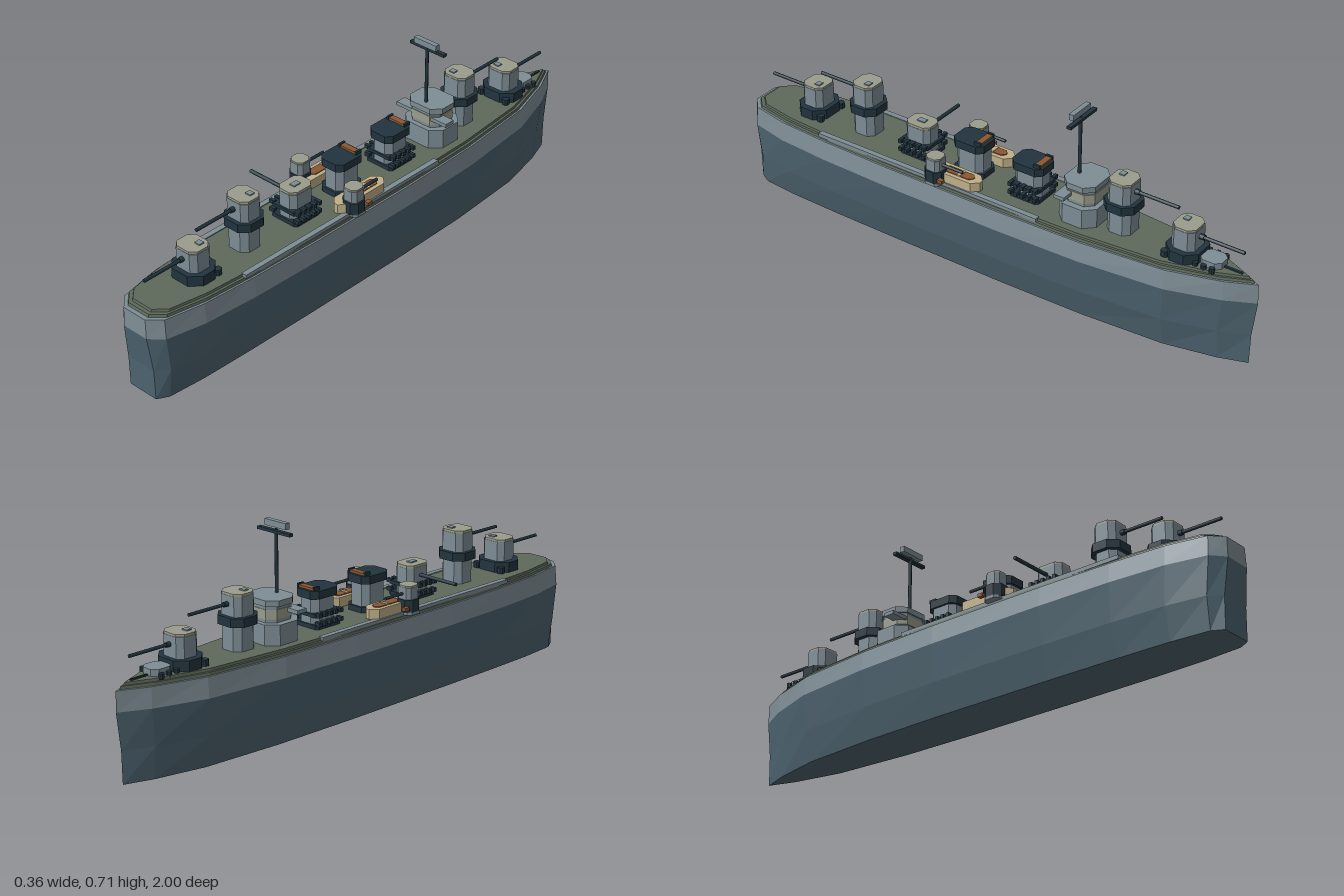
import * as THREE from 'three';

const mat = (name, color) => {
  const m = new THREE.MeshStandardMaterial({ color });
  m.name = name;
  return m;
};

export function createModel() {
  const hullBlue = mat('lower hull blue', 0x4d636f);
  const grey = mat('ship grey', 0x7e8d95);
  const deckGreen = mat('deck green', 0x5e6a5c);
  const navy = mat('dark navy', 0x22343e);
  const stone = mat('roof stone', 0x9a9d8c);
  const tan = mat('boat tan', 0xc0b08a);
  const brown = mat('wood brown', 0x8a5733);

  const ship = new THREE.Group();
  ship.name = 'warship';
  ship.position.x = 0.023;

  const add = (parent, name, geo, material, x = 0, y = 0, z = 0) => {
    const mesh = new THREE.Mesh(geo, material);
    mesh.name = name;
    mesh.position.set(x, y, z);
    parent.add(mesh);
    return mesh;
  };
  const group = (name, x, y, z, parent = ship) => {
    const g = new THREE.Group();
    g.name = name;
    g.position.set(x, y, z);
    parent.add(g);
    return g;
  };
  const box = (p, name, m, w, h, d, x, y, z) =>
    add(p, name, new THREE.BoxGeometry(w, h, d), m, x, y + h / 2, z);
  // Upright block with cut corners, standing on y
  const block = (p, name, m, w, h, d, x, y, z, c = 0.02) => {
    const a = w / 2, b = d / 2;
    const pts = [[a, c - b], [a, b - c], [a - c, b], [c - a, b], [-a, b - c], [-a, c - b], [c - a, -b], [a - c, -b]];
    const shape = new THREE.Shape(pts.map(q => new THREE.Vector2(q[0], q[1])));
    const geo = new THREE.ExtrudeGeometry(shape, { depth: h, bevelEnabled: false });
    return add(p, name, geo.rotateX(-Math.PI / 2), m, x, y, z);
  };
  // Rod lying along z
  const rod = (p, name, m, r, len, x, y, z) =>
    add(p, name, new THREE.CylinderGeometry(r, r, len, 8).rotateX(Math.PI / 2), m, x, y, z);

  // Half-widths of the hull from bow to stern
  const plan = [[-1, 0], [-0.9, 0.05], [-0.72, 0.106], [-0.42, 0.136], [-0.1, 0.145], [0.35, 0.145],
    [0.62, 0.138], [0.82, 0.124], [0.96, 0.095], [1, 0.05]];
  const ring = ([y, sx, sz, p]) => {
    const half = plan.map(([z, w]) => {
      const k = z > 0.5 ? p : 1;
      return [0.145 * sx * Math.pow(w / 0.145, k), y, z * sz];
    });
    return [...half, ...half.slice(1).reverse().map(([x, yy, z]) => [-x, yy, z])];
  };
  const loft = (name, m, levels, top, bottom) => {
    const rings = levels.map(ring), out = [];
    const n = rings[0].length;
    for (let i = 0; i < n; i++) {
      const j = (i + 1) % n;
      for (let k = 0; k + 1 < rings.length; k++) {
        const lo = rings[k], hi = rings[k + 1];
        out.push(...lo[i], ...hi[i], ...lo[j], ...lo[j], ...hi[i], ...hi[j]);
      }
      const last = rings[rings.length - 1], first = rings[0];
      if (top) out.push(0, last[0][1], 0, ...last[j], ...last[i]);
      if (bottom) out.push(0, first[0][1], 0, ...first[i], ...first[j]);
    }
    const geo = new THREE.BufferGeometry();
    geo.setAttribute('position', new THREE.Float32BufferAttribute(out, 3));
    geo.computeVertexNormals();
    add(ship, name, geo, m);
  };

  // Hull and stepped deck
  loft('lowerHull', hullBlue, [[0, 0.68, 0.983, 0.5], [0.11, 0.885, 0.985, 0.75], [0.238, 1.013, 1, 1]], false, true);
  loft('upperHull', grey, [[0.238, 1.013, 1, 1], [0.307, 0.955, 0.998, 1]], true, false);
  loft('deckEdge', deckGreen, [[0.3, 0.915, 0.985, 1], [0.317, 0.9, 0.98, 1]], true, false);
  loft('deck', deckGreen, [[0.315, 0.84, 0.968, 1], [0.326, 0.83, 0.965, 1]], true, false);
  for (const s of [-1, 1]) box(ship, 'deckWalkway', grey, 0.02, 0.014, 0.9, s * 0.118, 0.315, 0.2);

  // Main guns; raised ones stand on a tall column
  const turret = (z, dir, raised) => {
    const g = group(raised ? 'raisedTurret' : 'mainTurret', 0, 0.325, z);
    g.rotation.y = dir > 0 ? 0 : Math.PI;
    let y = 0;
    if (raised) {
      block(g, 'column', grey, 0.09, 0.09, 0.088, 0, 0, 0);
      block(g, 'columnRing', navy, 0.12, 0.03, 0.115, 0, 0.085, 0, 0.03);
      y = 0.075;
    } else {
      block(g, 'turretBase', navy, 0.14, 0.037, 0.12, 0, 0, 0, 0.035);
      for (const s of [-1, 1])
        block(g, 'readyLocker', navy, 0.024, 0.022, 0.024, s * 0.055, 0, -0.05, 0.006);
    }
    block(g, 'turretHouse', grey, 0.095, 0.07, 0.085, 0, y + 0.037, 0, 0.018);
    block(g, 'turretRoof', stone, 0.093, 0.009, 0.083, 0, y + 0.106, 0, 0.02);
    box(g, 'roofHatch', grey, 0.022, 0.004, 0.02, 0.015, y + 0.115, -0.015);
    rod(g, 'gunCollar', navy, 0.009, 0.02, 0, y + 0.079, 0.048);
    rod(g, 'gunBarrel', navy, 0.006, 0.165, 0, y + 0.079, 0.12);
  };
  turret(0.75, 1, false);
  turret(0.53, 1, true);
  turret(-0.5, -1, true);
  turret(-0.74, -1, false);

  // Two dark trays with a row of posts down each side
  const ribbedBase = g => {
    block(g, 'lowerTray', navy, 0.115, 0.015, 0.115, 0, 0, 0, 0.01);
    block(g, 'upperTray', navy, 0.115, 0.012, 0.115, 0, 0.04, 0, 0.01);
    for (const s of [-1, 1]) for (let i = 0; i < 5; i++) {
      const z = (i - 2) * 0.024;
      for (const y of [0.012, 0.042]) box(g, 'trayRib', navy, 0.022, 0.014, 0.012, s * 0.055, y, z);
    }
  };

  // Gun trained to the side
  const sideGun = group('sideTurret', 0, 0.325, 0.3);
  ribbedBase(sideGun);
  block(sideGun, 'turretHouse', grey, 0.08, 0.106, 0.1, 0, 0, 0, 0.018);
  block(sideGun, 'turretRoof', stone, 0.078, 0.009, 0.098, 0, 0.106, 0, 0.018);
  box(sideGun, 'roofHatch', grey, 0.02, 0.004, 0.03, 0, 0.115, 0);
  rod(sideGun, 'gunBarrel', navy, 0.0065, 0.165, -0.12, 0.077, 0).rotation.y = Math.PI / 2;

  // Funnels
  const funnel = (z, ribbed) => {
    const g = group('funnel', 0, 0.325, z);
    if (ribbed) ribbedBase(g);
    else block(g, 'funnelFoot', navy, 0.1, 0.02, 0.12, 0, 0, 0);
    block(g, 'funnelBody', grey, 0.085, 0.11, 0.105, 0, 0, 0);
    block(g, 'funnelCap', navy, 0.1, 0.028, 0.122, 0, 0.1, 0);
    box(g, 'funnelVent', brown, 0.066, 0.009, 0.022, 0, 0.127, -0.04);
    for (const s of [-1, 1]) box(g, 'ventEnd', navy, 0.008, 0.013, 0.026, s * 0.036, 0.127, -0.04);
  };
  funnel(0.085, false);
  funnel(-0.15, true);

  // Bridge
  const bridge = group('bridge', 0, 0.325, -0.36);
  block(bridge, 'bridgeLower', grey, 0.17, 0.07, 0.145, 0, 0, 0, 0.035);
  block(bridge, 'bridgeUpper', grey, 0.125, 0.06, 0.11, 0, 0.07, 0, 0.025);
  block(bridge, 'windowBand', stone, 0.13, 0.032, 0.114, 0, 0.082, 0, 0.025);
  box(bridge, 'bridgeWing', grey, 0.22, 0.013, 0.04, 0, 0.098, 0.035);
  block(bridge, 'bridgeRoof', grey, 0.145, 0.02, 0.12, 0, 0.125, 0, 0.03);

  // Mast with yard and aerial
  const mast = group('mast', 0, 0, -0.33);
  add(mast, 'mastPole', new THREE.CylinderGeometry(0.006, 0.006, 0.22, 8), navy, 0, 0.57, 0);
  box(mast, 'yard', navy, 0.148, 0.01, 0.016, 0, 0.668, -0.005);
  box(mast, 'aerial', grey, 0.096, 0.021, 0.018, 0, 0.685, 0.004);

  // Boats and light guns on both sides
  for (const s of [-1, 1]) {
    const g = group('boatStation', s * 0.092, 0.325, 0.1);
    block(g, 'boatHull', tan, 0.062, 0.034, 0.22, 0, 0.003, 0, 0.024);
    block(g, 'boatInside', brown, 0.034, 0.006, 0.12, 0, 0.034, -0.02, 0.012);
    box(g, 'boatSeat', tan, 0.034, 0.004, 0.012, 0, 0.038, -0.03);
    const x = s * 0.028, z = 0.055;
    block(g, 'gunSponson', grey, 0.06, 0.01, 0.06, s * 0.033, -0.005, z, 0.012);
    block(g, 'gunBase', navy, 0.07, 0.042, 0.07, x, 0.005, z, 0.02);
    box(g, 'ammunitionBox', brown, 0.016, 0.012, 0.02, s * 0.055, 0.015, z - 0.04);
    block(g, 'gunHouse', grey, 0.058, 0.042, 0.058, x, 0.046, z, 0.012);
    block(g, 'gunRoof', stone, 0.056, 0.006, 0.056, x, 0.088, z, 0.014);
    rod(g, 'lightGunBarrel', navy, 0.0055, 0.09, x, 0.066, z - 0.065);
  }

  // Anchor gear at the bow
  const gear = group('anchorGear', 0, 0.325, -0.835);
  block(gear, 'windlass', grey, 0.07, 0.024, 0.08, 0, 0, 0, 0.018);
  for (const s of [-1, 1]) for (let i = 0; i < 3; i++)
    block(gear, 'bollard', navy, 0.016, 0.018, 0.018, s * 0.045, -0.004, -0.02 + i * 0.03, 0.005);
  box(gear, 'anchorChain', navy, 0.008, 0.006, 0.07, 0, 0, -0.07);

  return ship;
}
